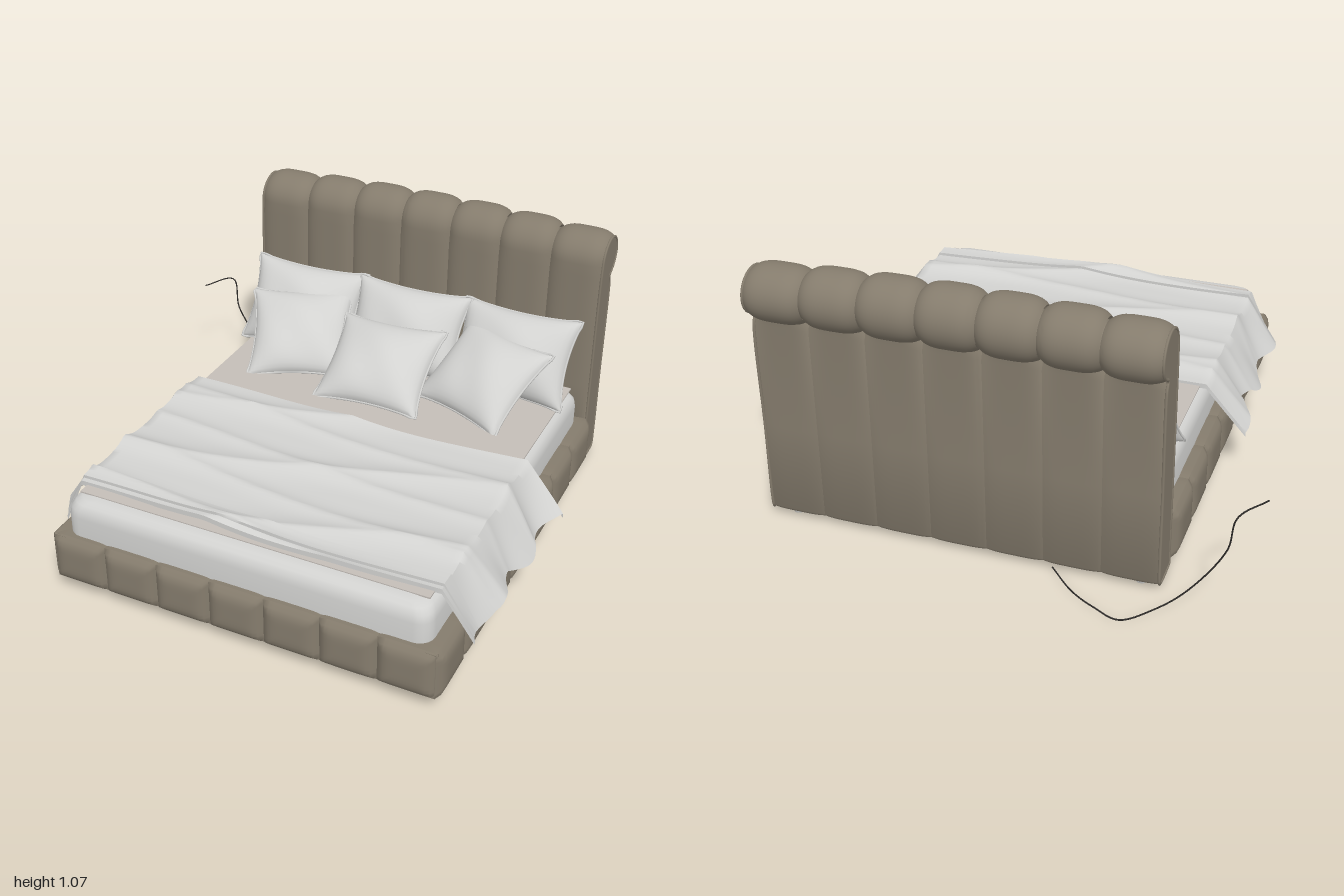
import * as THREE from 'three';
import { toCreasedNormals } from 'three/addons/utils/BufferGeometryUtils.js';

const CX = 0.117; // the bed sits off centre because of the cable
const mat = (name, color, double = false) => {
  const m = new THREE.MeshStandardMaterial({ color });
  m.name = name;
  if (double) m.side = THREE.DoubleSide;
  return m;
};

// Smooth surface through rows of [x, y, z] points
function loft(rows, closed = false, crease = 0.8) {
  const n = rows[0].length, index = [];
  for (let i = 0; i < rows.length - 1; i++) {
    for (let j = 0; j < (closed ? n : n - 1); j++) {
      const k = (j + 1) % n;
      const a = i * n + j, b = a + n, c = i * n + k, d = c + n;
      index.push(a, b, c, b, d, c);
    }
  }
  const g = new THREE.BufferGeometry();
  g.setAttribute('position', new THREE.Float32BufferAttribute(rows.flat(2), 3));
  g.setIndex(index);
  return toCreasedNormals(g, crease);
}

const steps = (n, a = 0, b = 1) => Array.from({ length: n + 1 }, (_, i) => a + (b - a) * i / n);

function tube(points, radius, closed, segments) {
  const curve = new THREE.CatmullRomCurve3(points.map(p => new THREE.Vector3(...p)), closed, 'centripetal');
  return new THREE.TubeGeometry(curve, segments, radius, 6, closed);
}

// Headboard side profile as [z, y, seam depth]: straight front, rolled top, flat back
function headboardProfile() {
  const p = [[-0.67, 0.03, 0.01], [-0.656, 0.045, 0.02], [-0.655, 0.4, 0.02], [-0.655, 0.9, 0.022]];
  for (const a of steps(24, 0, 250 * Math.PI / 180)) {
    p.push([-0.772 + 0.117 * Math.cos(a), 0.955 + 0.117 * Math.sin(a), 0.028]);
  }
  p.push([-0.81, 0.82, 0.006], [-0.81, 0.4, 0.006], [-0.81, 0.045, 0.006], [-0.8, 0.03, 0.006]);
  return p;
}

function insetProfile(profile, amount) {
  const n = profile.length;
  return profile.map(([z, y, depth], i) => {
    const a = profile[(i + n - 1) % n], b = profile[(i + 1) % n];
    const dz = b[0] - a[0], dy = b[1] - a[1], l = Math.hypot(dz, dy);
    return [z - dy / l * depth * amount, y + dz / l * depth * amount];
  });
}

// Puffed upholstery panel, outer face towards +z
function panelGeometry(length) {
  const g = new THREE.BoxGeometry(length, 0.2, 0.08, 14, 12, 3), p = g.attributes.position;
  for (let i = 0; i < p.count; i++) {
    const u = Math.abs(p.getX(i)) / (length / 2), v = Math.abs(p.getY(i)) / 0.1;
    const outer = (p.getZ(i) + 0.04) / 0.08;
    p.setZ(i, p.getZ(i) - outer * 0.028 * Math.max(u ** 6, v ** 5));
    p.setY(i, p.getY(i) * (1 - 0.05 * u ** 6));
  }
  g.computeVertexNormals();
  return g;
}

// Cushion with pointed corners and piped edge
function pillow(name, w, h, t, material) {
  const group = new THREE.Group();
  group.name = name;
  const s = steps(18, -1, 1).map(a => Math.sin(a * Math.PI / 2));
  const at = (u, v, side) => [
    w / 2 * u * (1 - 0.1 * (1 - v * v)),
    h / 2 * v * (1 - 0.1 * (1 - u * u)),
    side * t / 2 * Math.max(0, (1 - u * u) * (1 - v * v)) ** 0.5 * (1 + 0.05 * Math.sin(5 * u + 3 * v)),
  ];
  for (const side of [1, -1]) {
    const m = new THREE.Mesh(loft(s.map(u => s.map(v => at(side * u, v, side))), false, 1.2), material);
    m.name = side > 0 ? 'cushionFront' : 'cushionBack';
    group.add(m);
  }
  const e = steps(8, -1, 1).slice(0, -1);
  const edge = [...e.map(u => at(u, -1, 1)), ...e.map(v => at(1, v, 1)),
    ...e.map(u => at(-u, 1, 1)), ...e.map(v => at(-1, -v, 1))];
  const piping = new THREE.Mesh(tube(edge, 0.005, true, 80), material);
  piping.name = 'cushionPiping';
  group.add(piping);
  return group;
}

// Throw blanket: a = distance across from the middle, z = distance along the bed
const ridge = x => (1 - Math.abs(Math.sin(x))) ** 2;
function blanketPoint(a, z, lift) {
  const d = Math.max(0, Math.abs(a) - 0.72), side = Math.sign(a);
  const flare = 0.5 + 0.1 * Math.sin(19 * z + 1.4 + side) + 0.12 * Math.max(0, 1 - z * 5);
  const top = 0.41 + 0.022 * ridge(8 * z + 1.3 * a + 0.5 * Math.sin(3 * a))
    + 0.014 * ridge(14 * z - 1.1 * a + 1) + lift;
  const wave = 0.02 * Math.sin(13 * z + side) * d / 0.24;
  return [
    CX + side * (Math.min(Math.abs(a), 0.72) + d * flare),
    top - 0.82 * d + wave,
    z + 0.015 * Math.sin(4 * a + 1) + d * (0.43 - z) * 0.35,
  ];
}
function blanketGeometry(z0, z1, rows, lift) {
  const across = steps(64, -0.96, 0.96);
  const zs = steps(rows, z0, z1);
  const grid = zs.map(z => across.map(a => blanketPoint(a, z, lift)));
  // turn the front and back hems down
  const hem = z => across.map(a => blanketPoint(a, z, lift - 0.02));
  return loft([hem(z0), ...grid, hem(z1)], false, 1);
}

// Rounded rectangle outline for the mattress
function outline(y, inset) {
  const r = 0.06, pts = [];
  for (let k = 0; k < 4; k++) {
    const sx = k === 0 || k === 3 ? 1 : -1, sz = k < 2 ? 1 : -1;
    for (const a of steps(5, k * Math.PI / 2, (k + 1) * Math.PI / 2)) {
      pts.push([CX + sx * (0.725 - inset - r) + r * Math.cos(a), y, 0.15 + sz * (0.8 - inset - r) + r * Math.sin(a)]);
    }
  }
  return pts;
}

export function createModel() {
  const model = new THREE.Group();
  model.name = 'bed';
  const upholstery = mat('taupe upholstery', 0x857c6d, true);
  const linen = mat('white linen', 0xd2d2d0, true);
  const sheet = mat('warm grey sheet', 0xc4beb8);
  const metal = mat('leg metal', 0xb4b4b2);
  const cable = mat('dark cable', 0x2c2a28);
  const add = (name, geometry, material, x = 0, y = 0, z = 0, ry = 0) => {
    const m = new THREE.Mesh(geometry, material);
    m.name = name;
    m.position.set(x, y, z);
    m.rotation.y = ry;
    model.add(m);
    return m;
  };

  // Headboard: seven padded channels over a solid core
  const profile = headboardProfile(), W = 1.52, pitch = W / 7;
  for (let c = 0; c < 7; c++) {
    const drop = 0.022 * ((c - 3) / 3) ** 2;
    const rows = steps(20, -1, 1).map(k => {
      const t = Math.sin(k * Math.PI / 2);
      const x = CX + (c - 3) * pitch + t * pitch / 2;
      return insetProfile(profile, Math.abs(t) ** 4).map(([z, y]) => [x, y - drop * Math.max(0, y - 0.8) / 0.27, z]);
    });
    add('headboardChannel', loft(rows, true), upholstery);
  }
  const core = new THREE.Shape(insetProfile(profile, 1.1).map(([z, y]) => new THREE.Vector2(-z, y - 0.022 * Math.max(0, y - 0.8) / 0.27)));
  add('headboardCore', new THREE.ExtrudeGeometry(core, { depth: W, bevelEnabled: false, curveSegments: 1 }),
    upholstery, CX - W / 2, 0, 0, Math.PI / 2);
  for (const s of [-1, 1]) {
    const line = insetProfile(profile, 0.9).map(([z, y]) => [CX + s * (W / 2 - 0.002), y - 0.022 * Math.max(0, y - 0.8) / 0.27, z]);
    add('headboardPiping', tube(line, 0.006, true, 120), upholstery);
  }

  // Padded rails: seven panels on each of three sides
  const frontLength = 1.53 / 7, sideLength = 1.635 / 7;
  const frontPanel = panelGeometry(frontLength), sidePanel = panelGeometry(sideLength);
  for (let i = 0; i < 7; i++) {
    add('frontRailPanel', frontPanel, upholstery, CX + (i - 3) * frontLength, 0.15, 0.955);
    for (const s of [-1, 1]) {
      add('sideRailPanel', sidePanel, upholstery, CX + s * 0.75, 0.15, 0.155 + (i - 3) * sideLength, s * Math.PI / 2);
    }
  }

  // Mattress cover, open underneath, and the sheet on top of it
  const levels = [[0.07, 0.005], [0.2, 0], [0.33, 0], [0.36, 0.005], [0.38, 0.018], [0.391, 0.035], [0.395, 0.06]];
  const rings = levels.map(([y, inset]) => outline(y, inset));
  rings.push(rings[0].map(() => [CX, 0.395, 0.15]));
  add('mattress', loft(rings, true), linen);
  add('topSheet', new THREE.BoxGeometry(1.39, 0.006, 1.5), sheet, CX, 0.396, 0.13);

  // Throw blanket with a folded band at the foot
  add('blanket', blanketGeometry(0, 0.85, 70, 0), linen);
  add('blanketBand', blanketGeometry(0.77, 0.83, 8, 0.012), linen);

  // Pillows: three upright behind, three leaning in front
  const place = (name, w, h, t, x, y, z, yaw, tilt, roll = 0) => {
    const p = pillow(name, w, h, t, linen);
    p.position.set(x, y, z);
    p.rotation.set(-tilt, yaw, roll, 'YXZ');
    model.add(p);
  };
  for (const s of [-1, 0, 1]) {
    const x = 0.105 + s * 0.475;
    place('backPillow', 0.51, 0.37, 0.2, x, 0.55, -0.535, -s * 0.08, 0.56, s * 0.03);
    if (s) place('frontPillow', 0.43, 0.41, 0.17, 0.105 + s * 0.41, 0.515, -0.37, -s * 0.32, 0.95, -s * 0.05);
  }
  place('frontPillow', 0.45, 0.41, 0.18, 0.1, 0.505, -0.285, 0, 1.02, 0.03);

  // Short legs
  for (const s of [-1, 1]) {
    add('frontLeg', new THREE.CylinderGeometry(0.022, 0.022, 0.07, 16), metal, CX + s * 0.72, 0.035, 0.88);
    add('backLeg', new THREE.CylinderGeometry(0.022, 0.022, 0.05, 16), metal, CX + s * 0.68, 0.025, -0.75);
  }

  // Cable trailing behind the headboard
  add('cable', tube([[-0.99, 0.42, -0.73], [-0.91, 0.415, -0.855], [-0.88, 0.27, -0.85], [-0.75, 0.08, -0.87],
    [-0.65, 0.015, -0.92], [-0.55, 0.005, -0.997], [-0.45, 0.005, -0.96], [-0.35, 0.005, -0.9],
    [-0.24, 0.005, -0.79]], 0.003, false, 80), cable);
  return model;
}
